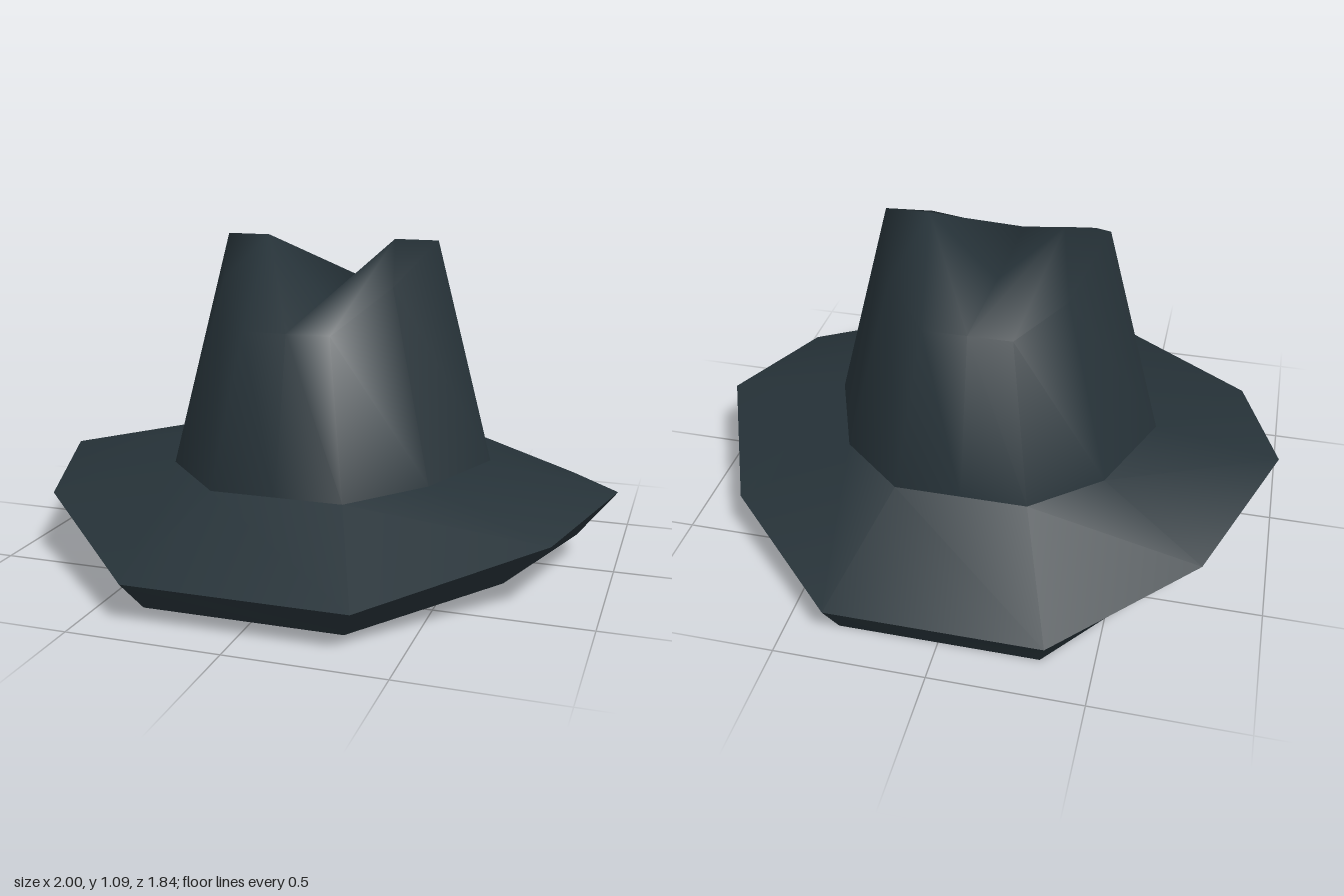
import * as THREE from 'three';

// Closed ring from its +x half, listed front to back; points on x = 0 are not doubled
function ring(half) {
  const mirrored = half.filter(p => p[0] > 0).reverse().map(([x, y, z]) => [-x, y, z]);
  return [...half, ...mirrored];
}

// Triangles joining two rings of n points stored one after the other
function loft(n) {
  const index = [];
  for (let i = 0; i < n; i++) {
    const j = (i + 1) % n;
    index.push(i, j, n + i, j, n + j, n + i);
  }
  return index;
}

function surface(points, index) {
  const g = new THREE.BufferGeometry();
  g.setAttribute('position', new THREE.Float32BufferAttribute(points.flat(), 3));
  g.setIndex(index);
  g.computeVertexNormals();
  return g;
}

export function createModel() {
  const group = new THREE.Group();
  const felt = new THREE.MeshStandardMaterial({ color: 0x263238 });
  felt.name = 'dark felt';

  const add = (name, points, index) => {
    const mesh = new THREE.Mesh(surface(points, index), felt);
    mesh.name = name;
    group.add(mesh);
  };

  // Ten-sided rings of the curled brim
  const under = ring([[0.32, 0.037, 0.84], [0.7, 0.075, 0.4], [0.87, 0.11, -0.02], [0.65, 0.033, -0.47], [0.33, 0, -0.85]]);
  const rim = ring([[0.36, 0.135, 0.915], [0.85, 0.228, 0.445], [1, 0.275, -0.015], [0.79, 0.18, -0.51], [0.355, 0.12, -0.92]]);
  const base = [[0.22, 0.328, 0.545], [0.44, 0.345, 0.335], [0.57, 0.345, -0.015], [0.44, 0.345, -0.35], [0.22, 0.348, -0.54]];

  add('brimTop', [...rim, ...ring(base)], loft(10));
  add('brimEdge', [...under, ...rim], loft(10));

  // Underside in strips running from side to side
  const strips = [];
  for (let i = 0; i < 4; i++) strips.push(i, 9 - i, i + 1, 9 - i, 8 - i, i + 1);
  add('brimUnderside', under, strips);

  // Crown: tapered wall, two raised ridges and a pinched valley between them
  const foot = ring([[0, 0.328, 0.545], ...base, [0, 0.348, -0.54]]);
  const top = ring([[0, 0.83, 0.44], [0.145, 0.83, 0.44], [0.29, 0.96, 0.24], [0.375, 1.085, -0.015],
    [0.29, 0.965, -0.28], [0.145, 0.888, -0.42], [0, 0.888, -0.42]]);
  const n = top.length;
  const ridges = [2 * n, 2 * n + 1], valley = 2 * n + 2;
  const crown = loft(n);
  ridges.forEach((ridge, side) => {
    const t = i => n + (side * 6 + i) % n;
    for (let i = 0; i < 6; i++) crown.push(ridge, t(i), t(i + 1));
    crown.push(ridge, t(6), valley, ridge, valley, t(0));
  });
  add('crown', [...foot, ...top, [0.225, 1.085, -0.015], [-0.225, 1.085, -0.015], [0, 0.855, 0]], crown);

  return group;
}
